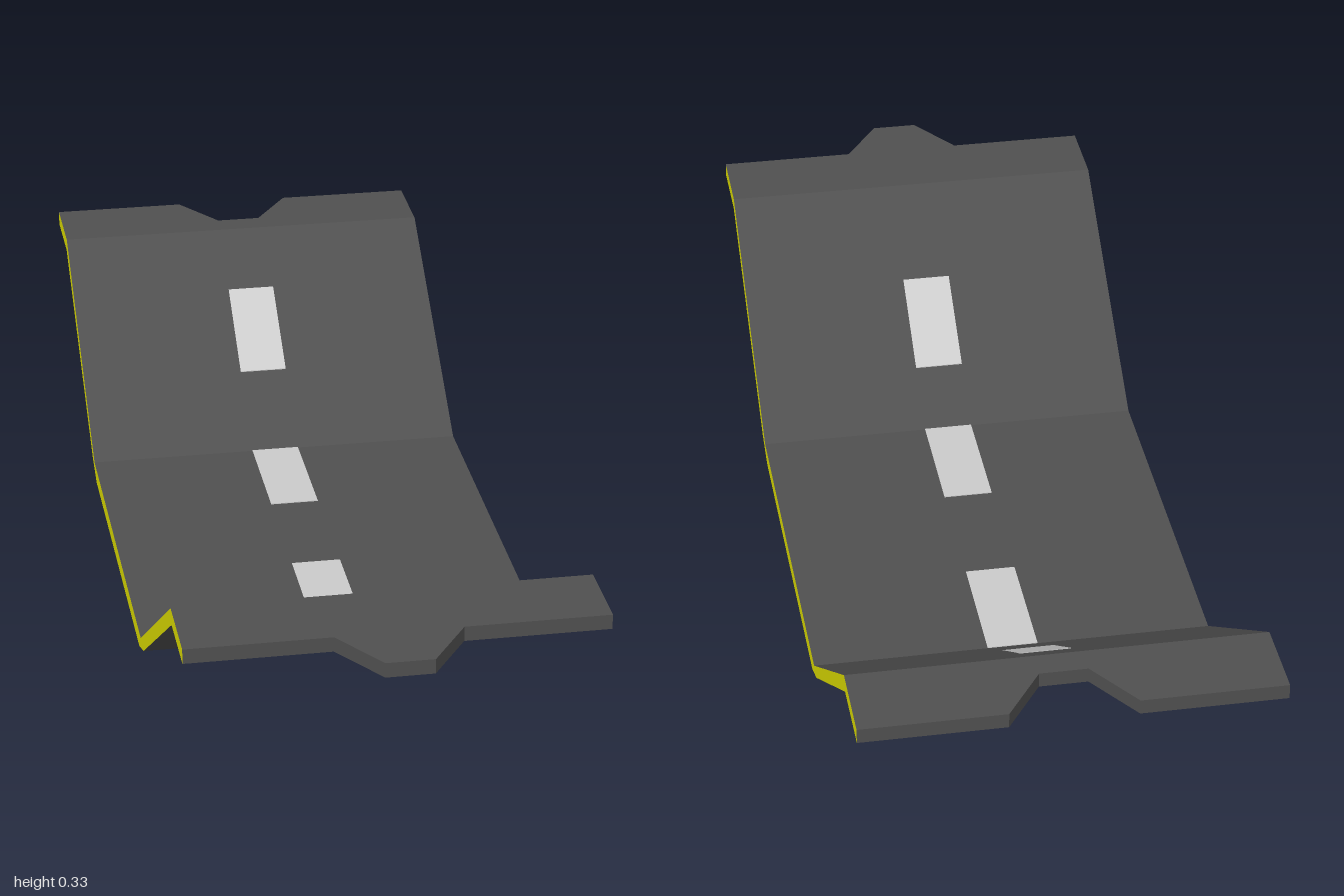
import * as THREE from 'three';

const HALF_WIDTH = 0.363;
const FRONT = 0.9, BACK = -1;

// Side profile as [z, y] running front to back, same point count above and below
const TOP = [[FRONT, 0.33], [0.755, 0.33], [0.31, 0.03], [0.285, 0.03], [-0.39, 0.03], [-0.42, 0.03], [-0.85, 0.33], [BACK, 0.33]];
const BOTTOM = [[FRONT, 0.303], [0.765, 0.303], [0.35, 0.025], [0.285, 0], [-0.39, 0], [-0.45, 0.025], [-0.86, 0.303], [BACK, 0.303]];

// Height of a profile line at a given z
function heightAt(line, z) {
  const i = line.findIndex((p, k) => k < line.length - 1 && z <= p[0] && z >= line[k + 1][0]);
  const [a, b] = [line[i], line[i + 1]];
  return THREE.MathUtils.mapLinear(z, a[0], b[0], a[1], b[1]);
}

function geometryFromQuads(quads) {
  const positions = [];
  for (const [a, b, c, d] of quads) {
    for (const p of [a, b, c, a, c, d]) positions.push(...p);
  }
  const geometry = new THREE.BufferGeometry();
  geometry.setAttribute('position', new THREE.Float32BufferAttribute(positions, 3));
  geometry.computeVertexNormals();
  return geometry;
}

// Skin closed cross-sections lying at successive x positions
function loft(sections) {
  const quads = [];
  for (let s = 0; s < sections.length - 1; s++) {
    const [a, b] = [sections[s], sections[s + 1]];
    for (let i = 0; i < a.length; i++) {
      const j = (i + 1) % a.length;
      quads.push([a[i], b[i], b[j], a[j]]);
    }
  }
  return geometryFromQuads(quads);
}

// Closed loop: along the top to the back, then along the underside to the front
function section(x, top, bottom) {
  return [...top, ...[...bottom].reverse()].map(([z, y]) => [x, y, z]);
}

// Moves both ends of a profile line forward, forming the tab and the notch
function shiftEnds(line, shift) {
  return line.map(([z, y], i) => [i === 0 || i === line.length - 1 ? z + shift : z, y]);
}

export function createModel() {
  const model = new THREE.Group();
  model.name = 'dippedRoadTrack';
  const add = (name, geometry, color) => {
    const material = new THREE.MeshStandardMaterial({ color, flatShading: true });
    const mesh = new THREE.Mesh(geometry, material);
    mesh.name = name;
    model.add(mesh);
  };

  // Road slab with connecting tab at the front and matching notch at the back
  const stations = [[-HALF_WIDTH, 0], [-0.11, 0], [-0.042, 0.1], [0.042, 0.1], [0.11, 0], [HALF_WIDTH, 0]];
  add('roadSlab', loft(stations.map(([x, shift]) =>
    section(x, shiftEnds(TOP, shift), shiftEnds(BOTTOM, shift)))), 0x505050);

  // Yellow edge faces
  for (const side of [1, -1]) {
    const quads = [];
    const at = ([z, y]) => [side * HALF_WIDTH, y, z];
    for (let i = 0; i < TOP.length - 1; i++) {
      const quad = [TOP[i], BOTTOM[i], BOTTOM[i + 1], TOP[i + 1]].map(at);
      quads.push(side > 0 ? quad : quad.reverse());
    }
    add(side > 0 ? 'leftEdge' : 'rightEdge', geometryFromQuads(quads), 0xe6e600);
  }

  // Centre line dashes, slightly proud of both faces of the slab
  const lift = 0.0015;
  const dashes = [[0.58, 0.42], [0.31, 0.07], [-0.18, -0.42], [-0.57, -0.73]];
  dashes.forEach(([z0, z1], n) => {
    const kinks = BOTTOM.map((p) => p[0]).filter((z) => z < z0 && z > z1);
    const zs = [z0, ...kinks, z1];
    const top = zs.map((z) => [z, heightAt(TOP, z) + lift]);
    const bottom = zs.map((z) => [z, heightAt(BOTTOM, z) - lift]);
    add('centreDash' + (n + 1), loft([-0.046, 0.046].map((x) => section(x, top, bottom))), 0xcccccc);
  });

  return model;
}
